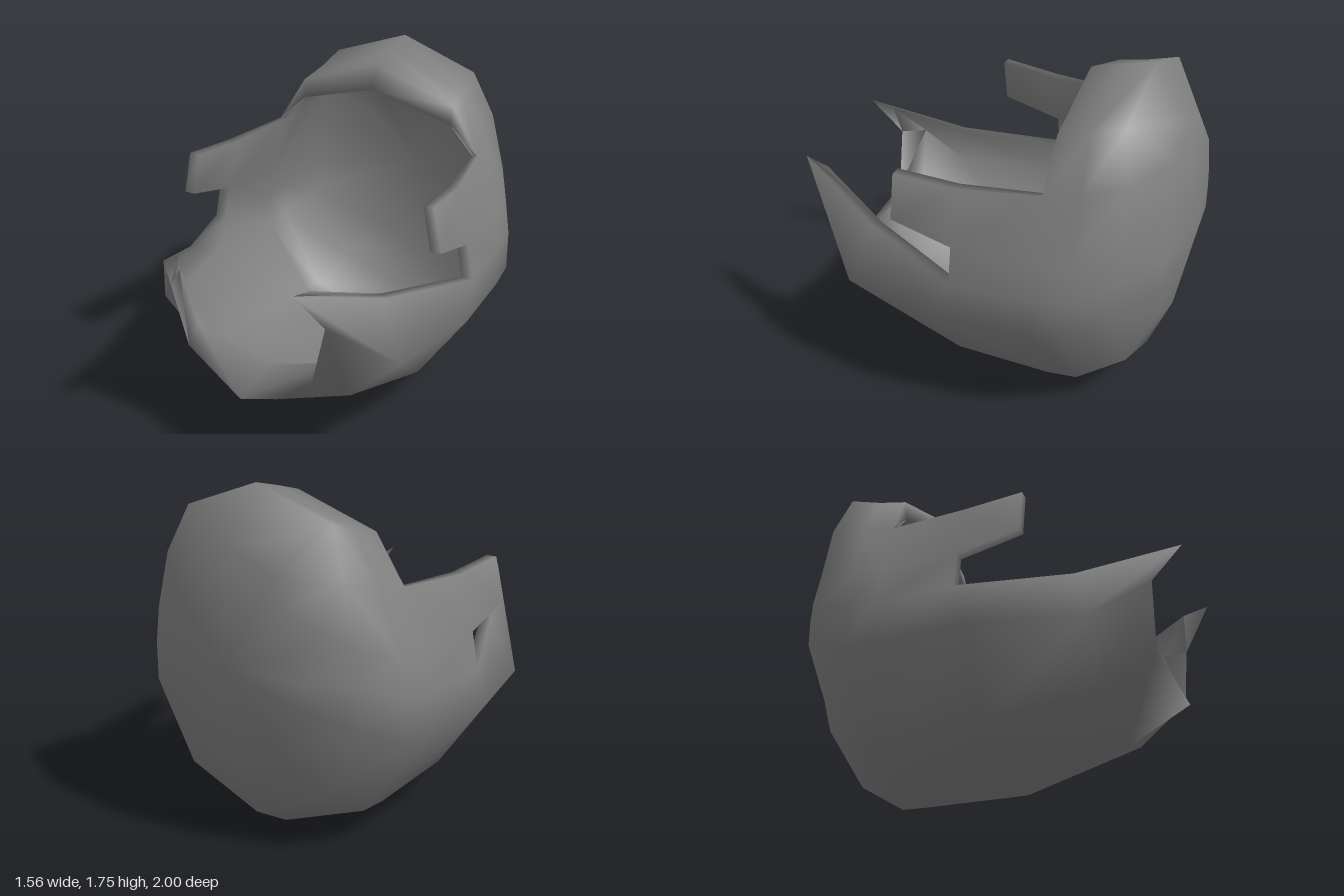
import * as THREE from 'three';
import { mergeVertices } from 'three/addons/utils/BufferGeometryUtils.js';

// Half ring of the dome, from bottom centre (0) to crown (7), at fixed fractions of its height.
// z is given for the belly, the side and the crown.
const heights = [0, .105, .35, .47, .585, .765, .91, 1];
function ring(bottom, crown, width, topWidth, zBelly, zSide, zCrown) {
  const xs = [0, width * .65, width, width, width * .96, (width + topWidth) / 2, topWidth, 0];
  return xs.map((x, j) => [
    x,
    bottom + (crown - bottom) * heights[j],
    j < 2 ? zBelly : j < 6 ? zSide : zCrown,
  ]);
}

// Cross-sections of the shell from back to front
const sections = [
  ring(.95, .95, 0, 0, -1, -1, -1),
  ring(.43, 1.48, .39, .23, -.9, -.94, -.91),
  ring(.14, 1.75, .61, .41, -.78, -.78, -.73),
  ring(0, 1.71, .72, .42, -.55, -.58, -.56),
  ring(0, 1.67, .74, .44, -.4, -.4, -.41),
  // Widest section, where the notch begins
  [[0, .01, .11], [.52, .225, .07], [.78, .6, .07], [.77, .8, 0], [.735, .985, 0], [.665, 1.265, 0]],
  // Jaw, followed by the two ends of the side strap
  [[0, .2, .62], [.41, .34, .59], [.68, .6, .6], [.56, .88, .52], [.735, 1.065, .31], [.69, 1.29, .31]],
  // Chin lip and the pointed tip beside it
  [[0, .38, .93], [.35, .53, .85], [.43, .85, .86], [.35, 1.06, 1]],
];

// Which patches exist: closed dome, then side straps, a notch, and the chin guard
function hasPatch(i, j) {
  if (i < 0 || i > 6 || j < 0 || j > 6) return false;
  if (i <= 3) return true;
  if (i === 4) return j <= 4;
  if (i === 5) return j <= 4 && j !== 3;
  return j <= 2;
}

// Inner skin: the outer point moved inwards, with a wide lip at the chin and brow
function innerPoint(i, j) {
  const [x, y, z] = sections[i][j];
  if (i === 7 && j === 3) return [.36, 1.03, .87];
  if (i === 7) return [x * 1.1, y + (.95 - y) * .12, z - (j === 0 ? .24 : .13)];
  if (i === 4 && j >= 6) return [x * .98, .95 + (y - .95) * .83, j === 7 ? -.36 : -.4];
  const iy = j >= 3 && j <= 5 ? y : .95 + (y - .95) * .92;
  const thin = i === 4 && j === 5 ? .95 : .92;
  return [x * thin, iy, Math.abs(z) > .45 ? z * .935 : z];
}

function buildShell() {
  const positions = [];
  const same = (a, b) => a.every((v, k) => Math.abs(v - b[k]) < 1e-6);

  // Adds a quad on both sides of the mirror plane
  function quad(a, b, c, d) {
    for (const side of [1, -1]) {
      for (const [p, q, r] of [[a, b, c], [a, c, d]]) {
        if (same(p, q) || same(q, r) || same(p, r)) continue;
        const order = side > 0 ? [p, q, r] : [p, r, q];
        for (const v of order) positions.push(v[0] * side, v[1], v[2]);
      }
    }
  }

  for (let i = 0; i < 7; i++) {
    for (let j = 0; j < 7; j++) {
      if (!hasPatch(i, j)) continue;
      const corners = [[i, j], [i, j + 1], [i + 1, j + 1], [i + 1, j]];
      const out = corners.map(([u, v]) => sections[u][v]);
      const inn = corners.map(([u, v]) => innerPoint(u, v));

      // The fold of each patch follows the curve: one way below, the other above
      if (j > 3) {
        quad(out[1], out[2], out[3], out[0]);
        quad(inn[3], inn[2], inn[1], inn[0]);
      } else {
        quad(out[0], out[1], out[2], out[3]);
        quad(inn[2], inn[1], inn[0], inn[3]);
      }

      // Close every open edge between the two skins
      const open = [
        i > 0 && !hasPatch(i - 1, j),
        j < 6 && !hasPatch(i, j + 1),
        !hasPatch(i + 1, j),
        j > 0 && !hasPatch(i, j - 1),
      ];
      open.forEach((isOpen, k) => {
        const n = (k + 1) % 4;
        if (isOpen) quad(out[n], out[k], inn[k], inn[n]);
      });
    }
  }

  // Shared vertices give one smooth skin that rolls over the rim
  const geometry = new THREE.BufferGeometry();
  geometry.setAttribute('position', new THREE.Float32BufferAttribute(positions, 3));
  const smooth = mergeVertices(geometry);
  smooth.computeVertexNormals();
  return smooth;
}

export function createModel() {
  const group = new THREE.Group();
  group.name = 'helmet';
  const grey = new THREE.MeshStandardMaterial({ color: 0x808080 });
  grey.name = 'grey';

  const shell = new THREE.Mesh(buildShell(), grey);
  shell.name = 'helmetShell';
  group.add(shell);
  return group;
}
